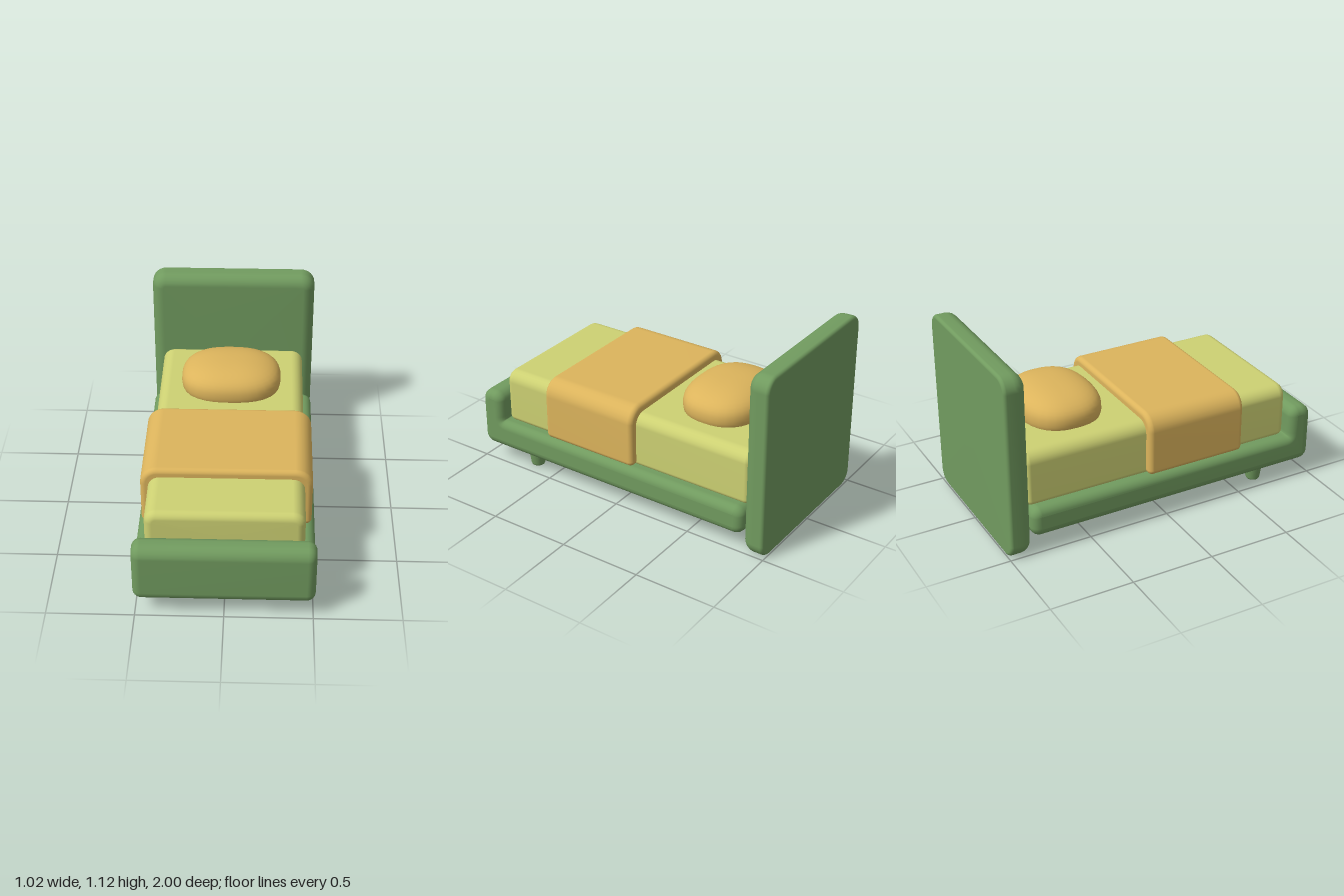
import * as THREE from 'three';
import { mergeVertices } from 'three/addons/utils/BufferGeometryUtils.js';

// Weld vertices and use area-weighted smooth normals: flats stay flat, bevels look soft
function soften(geo) {
  geo.deleteAttribute('uv');
  geo.deleteAttribute('normal');
  const g = mergeVertices(geo, 1e-4);
  g.computeVertexNormals();
  return g;
}

// Outline of a rounded rectangle, counter-clockwise, shrunk by inset
function outline(x, y0, y1, rBottom, rTop, inset) {
  const corners = [[1, 0, rBottom], [1, 1, rTop], [-1, 1, rTop], [-1, 0, rBottom]];
  const pts = [];
  corners.forEach(([sx, top, radius], k) => {
    const r = Math.max(radius - inset, 0.004);
    const cx = sx * (x - inset - r);
    const cy = top ? y1 - inset - r : y0 + inset + r;
    for (let i = 0; i <= 6; i++) {
      const a = (k - 1 + i / 6) * Math.PI / 2;
      pts.push([cx + r * Math.cos(a), cy + r * Math.sin(a)]);
    }
  });
  return pts;
}

// Cushion-like slab along z with separate rounding at the back and front ends
function slab({ x, y0, y1, z0, z1, rBottom, rTop, back, front }) {
  const rings = [];
  for (let i = 0; i <= 5; i++) {
    const a = i / 5 * Math.PI / 2;
    rings.push([z0 + back * (1 - Math.sin(a)), back * (1 - Math.cos(a))]);
  }
  rings.reverse();
  for (let i = 0; i <= 5; i++) {
    const a = i / 5 * Math.PI / 2;
    rings.push([z1 - front * (1 - Math.sin(a)), front * (1 - Math.cos(a))]);
  }
  // the back end runs from the flat cap outwards
  const order = rings.slice(0, 6).sort((p, q) => p[0] - q[0]).concat(rings.slice(6));
  const pos = [], index = [];
  let n = 0;
  order.forEach(([z, inset]) => {
    const pts = outline(x, y0, y1, rBottom, rTop, inset);
    n = pts.length;
    pts.forEach(p => pos.push(p[0], p[1], z));
  });
  const last = (order.length - 1) * n, centre = order.length * n;
  pos.push(0, (y0 + y1) / 2, z0, 0, (y0 + y1) / 2, z1);
  for (let j = 0; j < n; j++) {
    const k = (j + 1) % n;
    for (let i = 0; i < last; i += n) index.push(i + j, i + k, i + n + k, i + j, i + n + k, i + n + j);
    index.push(centre, k, j, centre + 1, last + j, last + k);
  }
  const g = new THREE.BufferGeometry();
  g.setAttribute('position', new THREE.Float32BufferAttribute(pos, 3));
  g.setIndex(index);
  g.computeVertexNormals();
  return g;
}

// Polygon with rounded corners from [x, y, radius] points
function roundedPolygon(points) {
  const shape = new THREE.Shape();
  const n = points.length;
  points.forEach(([x, y, r], i) => {
    const p = new THREE.Vector2(x, y);
    const toward = q => new THREE.Vector2(q[0], q[1]).sub(p).setLength(r).add(p);
    const a = toward(points[(i + n - 1) % n]), b = toward(points[(i + 1) % n]);
    if (i === 0) shape.moveTo(a.x, a.y);
    else shape.lineTo(a.x, a.y);
    shape.quadraticCurveTo(x, y, b.x, b.y);
  });
  return shape;
}

// L-shaped side profile of rails and footboard, extruded across the bed
function frameGeometry() {
  const b = 0.05, width = 1.02;
  const shape = roundedPolygon([
    [-0.86 + b, 0.10 + b, 0.01], [1 - b, 0.10 + b, 0.015],
    [1 - b, 0.468 - b, 0.02], [0.85 + b, 0.468 - b, 0.01],
    [0.85 + b, 0.28 - b, 0.07], [-0.86 + b, 0.28 - b, 0.01],
  ]);
  const g = new THREE.ExtrudeGeometry(shape, {
    depth: width - 2 * b, bevelThickness: b, bevelSize: b, bevelSegments: 6, curveSegments: 5,
  });
  g.translate(0, 0, -(width / 2 - b));
  g.rotateY(-Math.PI / 2);
  return soften(g);
}

// Pillow: a sphere squared off into a superellipsoid
function pillowGeometry() {
  const g = new THREE.SphereGeometry(1, 36, 24);
  const p = g.attributes.position, e = 2.5;
  for (let i = 0; i < p.count; i++) {
    const v = new THREE.Vector3().fromBufferAttribute(p, i);
    const s = (Math.abs(v.x) ** e + Math.abs(v.y) ** e + Math.abs(v.z) ** e) ** (-1 / e);
    p.setXYZ(i, v.x * s * 0.305, v.y * s * 0.13, v.z * s * 0.243);
  }
  return soften(g);
}

export function createModel() {
  const bed = new THREE.Group();
  bed.name = 'bed';
  const material = (name, color) => {
    const m = new THREE.MeshStandardMaterial({ color });
    m.name = name;
    return m;
  };
  const green = material('green frame', 0x719b5f);
  const lime = material('lime mattress', 0xcdd173);
  const amber = material('amber bedding', 0xdcb45c);
  const add = (name, geometry, mat, x = 0, y = 0, z = 0) => {
    const mesh = new THREE.Mesh(geometry, mat);
    mesh.name = name;
    mesh.position.set(x, y, z);
    bed.add(mesh);
  };

  add('frame', frameGeometry(), green);
  add('headboard', slab({
    x: 0.51, y0: 0, y1: 1.12, z0: -1, z1: -0.86, rBottom: 0.085, rTop: 0.085, back: 0.02, front: 0.07,
  }), green);
  add('mattress', slab({
    x: 0.445, y0: 0.275, y1: 0.605, z0: -0.86, z1: 0.85, rBottom: 0.03, rTop: 0.07, back: 0.03, front: 0.045,
  }), lime);
  add('blanket', slab({
    x: 0.49, y0: 0.278, y1: 0.655, z0: -0.11, z1: 0.52, rBottom: 0.03, rTop: 0.1, back: 0.03, front: 0.03,
  }), amber);
  add('pillow', pillowGeometry(), amber, 0, 0.645, -0.472);

  // Two short tapered feet at the foot end
  const foot = new THREE.LatheGeometry([
    [0, 0], [0.028, 0], [0.038, 0.005], [0.043, 0.016], [0.055, 0.105],
  ].map(([r, y]) => new THREE.Vector2(r, y)), 20);
  add('leftFoot', foot, green, 0.402, 0, 0.665);
  add('rightFoot', foot, green, -0.402, 0, 0.665);
  return bed;
}
